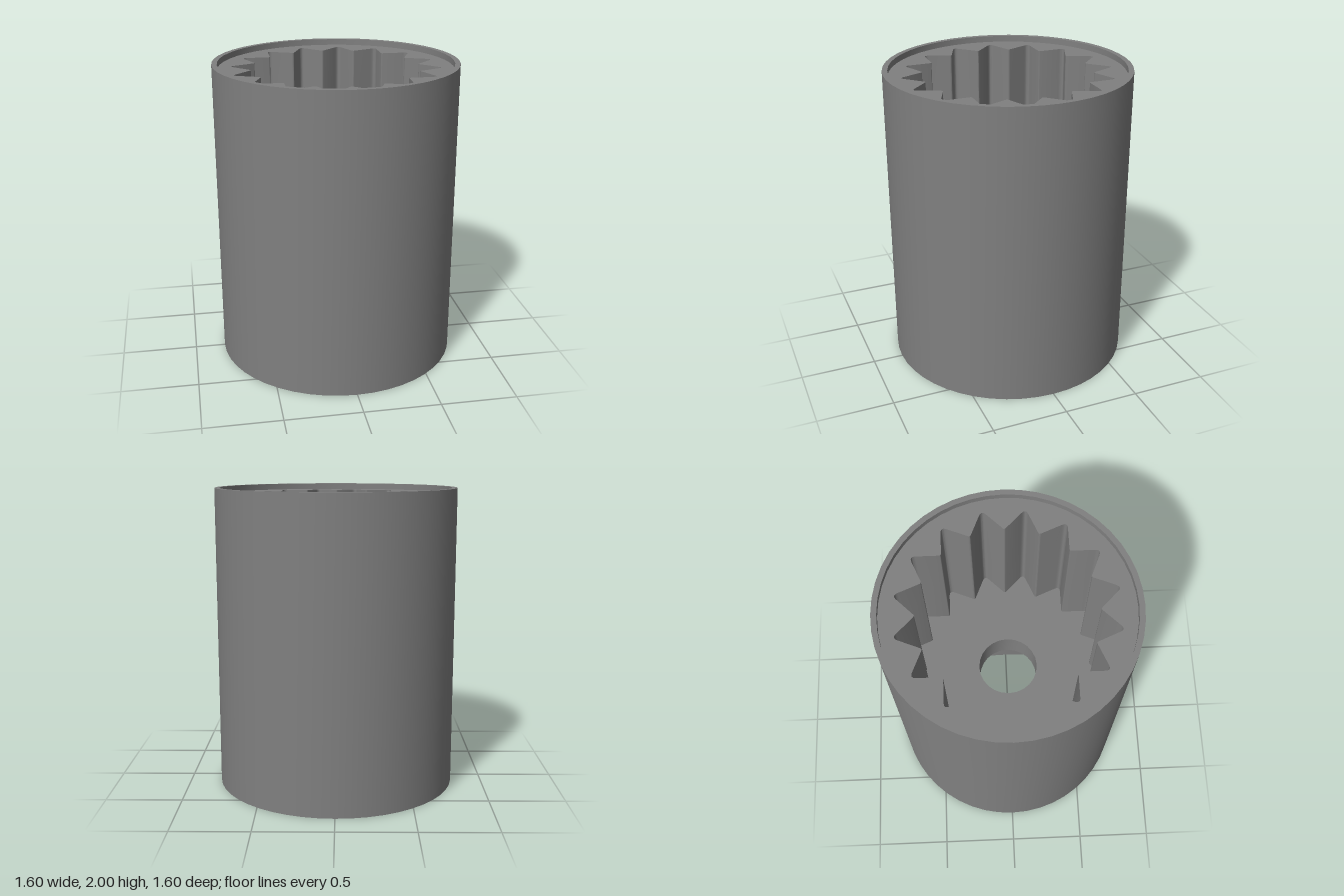
import * as THREE from 'three';
import { toCreasedNormals } from 'three/addons/utils/BufferGeometryUtils.js';

const OUTER = 0.8, RIM = 0.765, MOUTH = 0.74, BORE = 0.195;
const TOP = 2, LEDGE = 1.96, FLOOR = 1.05, CEILING = 0.85;
const POINTS = 16, HALF_SQUARE = 0.395, FILLET = 0.02;

// Flat outlines, all counter-clockwise
function circle(r, n) {
  return Array.from({ length: n }, (_, i) => {
    const a = (i / n) * Math.PI * 2;
    return new THREE.Vector2(r * Math.cos(a), r * Math.sin(a));
  });
}

function starOutline() {
  const corners = [];
  for (let i = 0; i < POINTS * 2; i++) {
    const a = (i / (POINTS * 2)) * Math.PI * 2, r = i % 2 ? 0.695 : 0.546;
    corners.push(new THREE.Vector2(r * Math.cos(a), r * Math.sin(a)));
  }
  const pts = [];
  corners.forEach((c, i) => {
    const prev = corners.at(i - 1), next = corners[(i + 1) % corners.length];
    const round = i % 2 ? 0.2 : 0.07; // tips are rounder than the valleys
    const curve = new THREE.QuadraticBezierCurve(c.clone().lerp(prev, round), c, c.clone().lerp(next, round));
    pts.push(...curve.getPoints(6));
  });
  return pts;
}

function squareOutline() {
  const pts = [], k = HALF_SQUARE - FILLET, steps = 20;
  for (let q = 0; q < 4; q++) {
    const turn = (v) => v.rotateAround(new THREE.Vector2(), (q * Math.PI) / 2);
    for (let i = 0; i < steps; i++) pts.push(turn(new THREE.Vector2(HALF_SQUARE, -k + (2 * k * i) / steps)));
    for (let i = 0; i < 4; i++) {
      const a = (i / 4) * (Math.PI / 2);
      pts.push(turn(new THREE.Vector2(k + FILLET * Math.cos(a), k + FILLET * Math.sin(a))));
    }
  }
  return pts;
}

// Lift an outline to a height (a number or a rule)
const lift = (pts, h) => pts.map((p) => new THREE.Vector3(p.x, typeof h === 'function' ? h(p) : h, -p.y));

// Surface through successive closed loops, facing outwards where it rises
function loft(loops) {
  const pos = [];
  for (let j = 0; j < loops.length - 1; j++) {
    const a = loops[j], b = loops[j + 1];
    for (let i = 0; i < a.length; i++) {
      const n = (i + 1) % a.length;
      for (const v of [a[i], a[n], b[n], a[i], b[n], b[i]]) pos.push(v.x, v.y, v.z);
    }
  }
  const g = new THREE.BufferGeometry();
  g.setAttribute('position', new THREE.Float32BufferAttribute(pos, 3));
  return toCreasedNormals(g, 0.5);
}

// Flat face with a hole, facing up or down
function plate(outline, hole, y, up) {
  const shape = new THREE.Shape(outline);
  shape.holes.push(new THREE.Path(hole));
  const g = new THREE.ShapeGeometry(shape);
  g.rotateX(up ? -Math.PI / 2 : Math.PI / 2);
  return g.translate(0, y, 0);
}

export function createModel() {
  const steel = new THREE.MeshStandardMaterial({ color: 0x808080 });
  steel.name = 'grey steel';
  const group = new THREE.Group();
  group.name = 'socket';
  const add = (name, geometry) => {
    const mesh = new THREE.Mesh(geometry, steel);
    mesh.name = name;
    group.add(mesh);
  };

  const star = starOutline(), square = squareOutline(), bore = circle(BORE, 24);
  const ring = (r, y) => lift(circle(r, 48), y);

  // Outer wall with the bottom rim, top rim and shallow recess
  add('outerSleeve', loft([ring(MOUTH, 0), ring(OUTER, 0), ring(OUTER, TOP), ring(RIM, TOP), ring(RIM, LEDGE)]));

  // Sixteen-point opening
  add('recessLedge', plate(circle(RIM, 48), star, LEDGE, true));
  add('splineWall', loft([lift(star, LEDGE), lift(star, FLOOR)]));
  add('splineFloor', plate(star, bore, FLOOR, true));

  // Through hole
  add('centreBore', loft([lift(bore, FLOOR), lift(bore, CEILING)]));

  // Square drive, cut off by the conical mouth
  const coneHeight = (p) => (MOUTH - p.length()) * 0.67;
  const mouth = square.map((p) => p.clone().setLength(MOUTH));
  add('driveCeiling', plate(square, bore, CEILING, false));
  add('driveWall', loft([lift(square, CEILING), lift(square, coneHeight)]));
  add('conicalMouth', loft([lift(square, coneHeight), lift(mouth, 0)]));

  return group;
}
